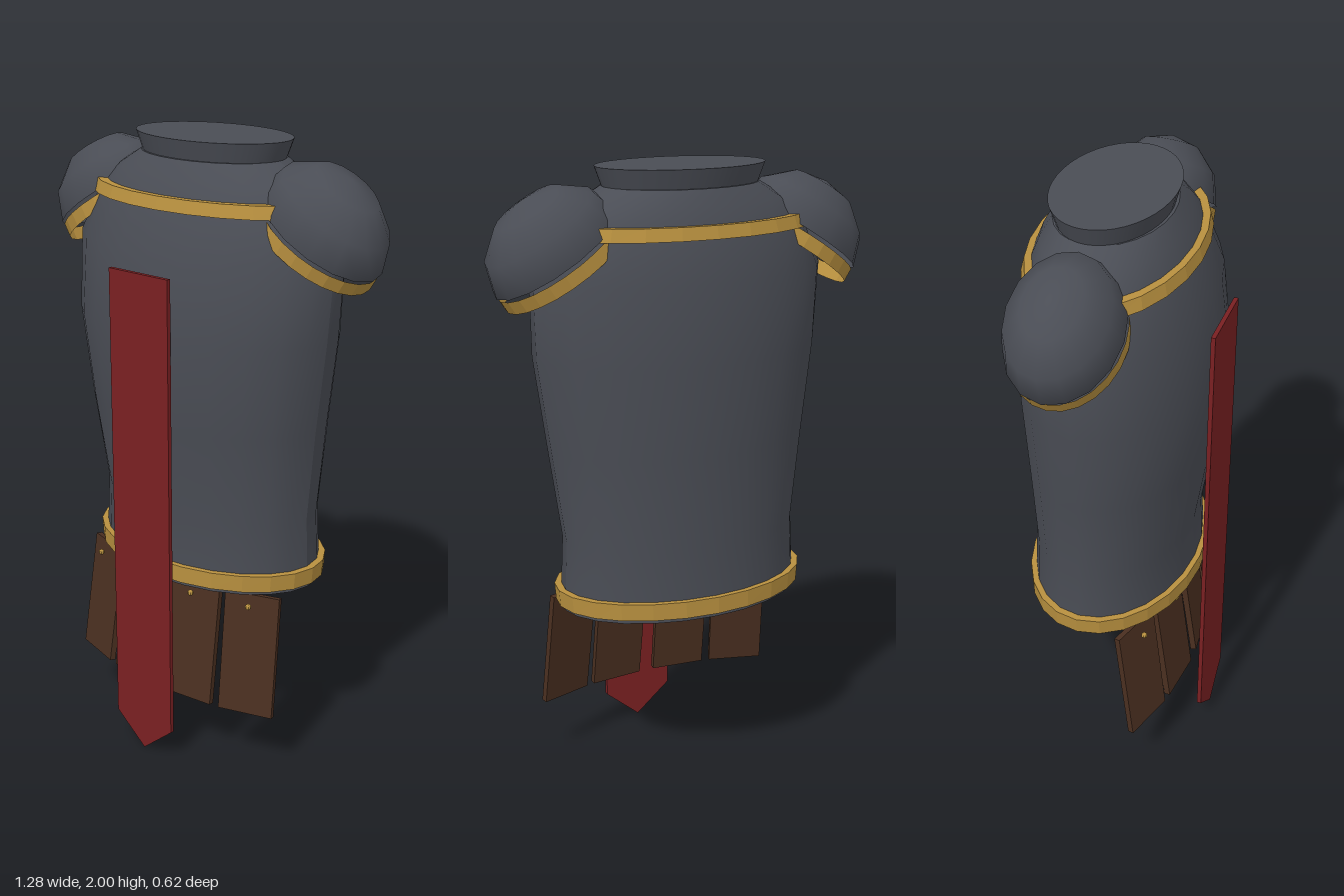
import * as THREE from 'three';

const mat = (color, extra = {}) => new THREE.MeshStandardMaterial({ color, ...extra });
const steel = mat(0x4a4d55);
const steelThin = mat(0x4a4d55, { side: THREE.DoubleSide });
const gold = mat(0xb8903f, { flatShading: true });
const goldThin = mat(0xb8903f, { side: THREE.DoubleSide, flatShading: true });
const leather = mat(0x4a2f20);
const cloth = mat(0x7a2022);

function add(parent, name, geometry, material) {
  const mesh = new THREE.Mesh(geometry, material);
  mesh.name = name;
  parent.add(mesh);
  return mesh;
}

// Closed elliptical loft; rings run upward as [y, radiusX, radiusZ, centreZ]
function loft(rings, sides) {
  const n = rings.length - 1;
  const geo = new THREE.CylinderGeometry(1, 1, n, sides, n).rotateY(Math.PI / 2);
  const p = geo.attributes.position;
  for (let i = 0; i < p.count; i++) {
    const [y, rx, rz, cz] = rings[Math.round(p.getY(i) + n / 2)];
    p.setXYZ(i, p.getX(i) * rx, y, p.getZ(i) * rz + cz);
  }
  geo.computeVertexNormals();
  return geo;
}

// Domed shoulder plate with a gold rim, tilted outward; side is +1 or -1
function shoulder(side) {
  const group = new THREE.Group();
  group.name = side > 0 ? 'leftShoulder' : 'rightShoulder';
  const dome = new THREE.SphereGeometry(1, 16, 3, 0, Math.PI * 2, 0, Math.PI / 2);
  dome.scale(0.228, 0.193, 0.175);
  add(group, 'shoulderPlate', dome, steelThin);
  const rim = new THREE.CylinderGeometry(1, 1, 0.045, 24, 1, true);
  rim.scale(0.222, 1, 0.175);
  add(group, 'shoulderTrim', rim, goldThin).position.y = -0.034;
  group.position.set(side * 0.42, 1.755, -0.037);
  group.rotation.z = -side * 0.58;
  return group;
}

// Hanging leather strip with its rivet
function skirtStrip(x, z, yaw) {
  const group = new THREE.Group();
  group.name = 'skirtStrip';
  const strip = add(group, 'leatherStrip', new THREE.BoxGeometry(0.185, 0.4, 0.02), leather);
  strip.position.set(x, 0.4, z);
  strip.rotation.set(-0.14, yaw, 0, 'YXZ');
  const rivet = add(group, 'rivet', new THREE.SphereGeometry(0.01, 8, 6), gold);
  rivet.position.set(x * 1.01, 0.57, z + 0.013);
  return group;
}

export function createModel() {
  const model = new THREE.Group();
  model.name = 'breastplate';

  // Body armour and collar
  add(model, 'torso', loft([
    [0.6, 0.41, 0.265, -0.025],
    [0.83, 0.4, 0.255, -0.025],
    [1.13, 0.438, 0.285, -0.01],
    [1.42, 0.477, 0.304, -0.004],
    [1.67, 0.488, 0.283, -0.017],
    [1.82, 0.42, 0.236, -0.027],
    [1.89, 0.345, 0.205, -0.032],
    [1.94, 0.26, 0.175, -0.035],
  ], 24), steel);
  add(model, 'collar', loft([
    [1.92, 0.25, 0.16, -0.035],
    [2, 0.28, 0.183, -0.036],
  ], 40), steel);

  // Gold bands around chest and waist
  add(model, 'chestBand', loft([
    [1.8, 0.45, 0.257, -0.027],
    [1.84, 0.437, 0.247, -0.027],
  ], 24), gold);
  add(model, 'waistBand', loft([
    [0.615, 0.425, 0.28, -0.025],
    [0.67, 0.43, 0.28, -0.025],
  ], 24), gold);

  // Shoulders and skirt strips, mirrored
  for (const side of [1, -1]) {
    model.add(shoulder(side));
    model.add(skirtStrip(side * 0.117, 0.198, side * 0.1));
    model.add(skirtStrip(side * 0.322, 0.157, side * 0.3));
  }

  // Pointed cloth banner down the front
  const outline = new THREE.Shape([
    [-0.12, 1.62], [-0.12, 0.1], [0, 0], [0.12, 0.1], [0.12, 1.62],
  ].map(([x, y]) => new THREE.Vector2(x, y)));
  const banner = new THREE.ExtrudeGeometry(outline, { depth: 0.014, bevelEnabled: false });
  add(model, 'frontBanner', banner, cloth).position.z = 0.298;

  return model;
}
